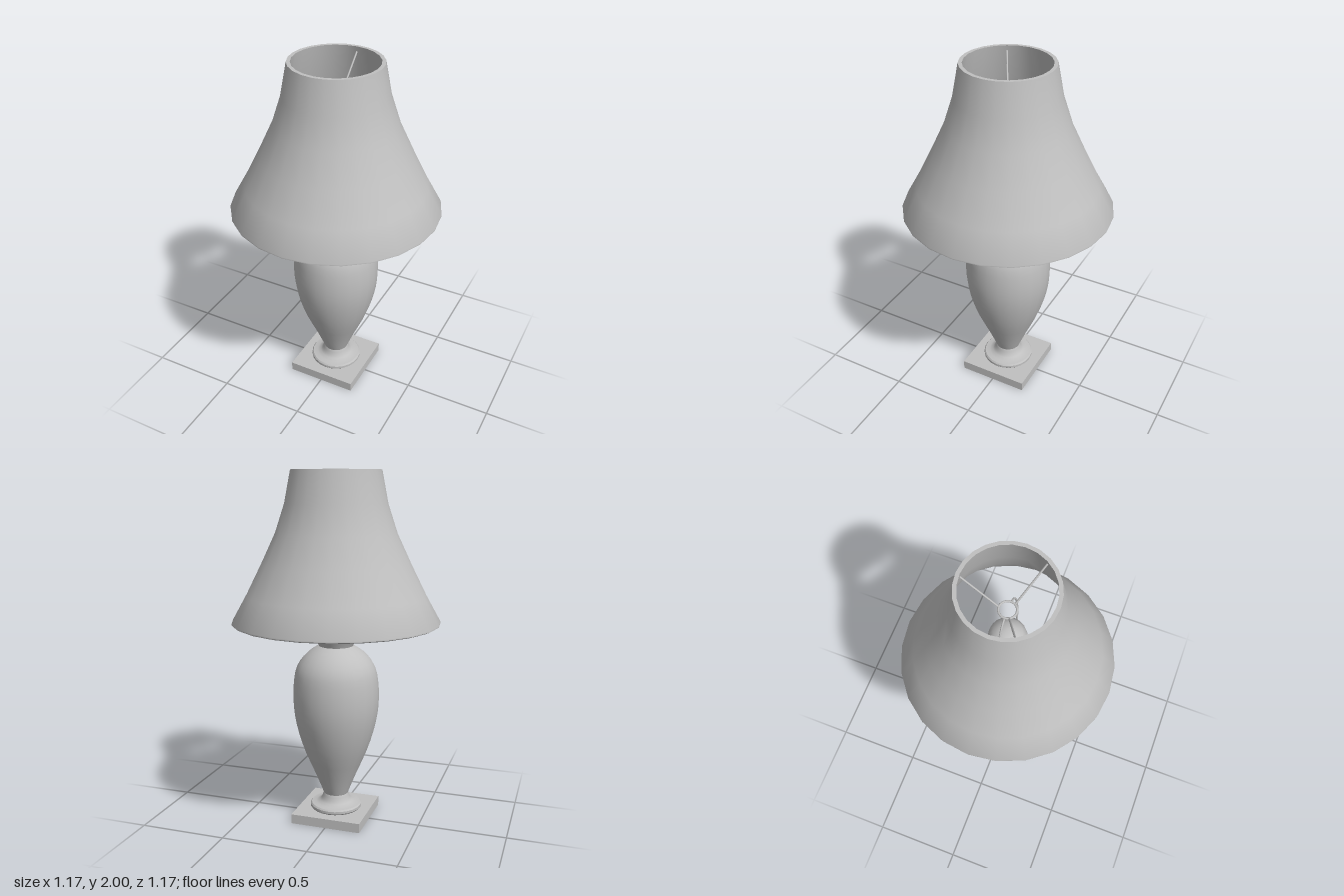
import * as THREE from 'three';
import { toCreasedNormals } from 'three/addons/utils/BufferGeometryUtils.js';

const grey = new THREE.MeshStandardMaterial({ color: 0xc0c0c0 });
grey.name = 'plain grey';

export function createModel() {
  const lamp = new THREE.Group();
  lamp.name = 'tableLamp';

  const add = (name, geometry, x = 0, y = 0, z = 0) => {
    const mesh = new THREE.Mesh(geometry, grey);
    mesh.name = name;
    mesh.position.set(x, y, z);
    lamp.add(mesh);
    return mesh;
  };
  const turned = (name, profile, sides = 24, crease = 0.6) => {
    const points = profile.map(([r, y]) => new THREE.Vector2(r, y));
    return add(name, toCreasedNormals(new THREE.LatheGeometry(points, sides), crease));
  };
  const wire = (name, points, radius, steps) => {
    const path = new THREE.CatmullRomCurve3(points.map((p) => new THREE.Vector3(...p)));
    return add(name, new THREE.TubeGeometry(path, steps, radius, 8));
  };

  // Square plinth and round foot
  add('plinth', new THREE.BoxGeometry(0.41, 0.055, 0.41), 0, 0.0275, 0);
  turned('foot', [
    [0, 0.055], [0.143, 0.055], [0.15, 0.063], [0.15, 0.077], [0.143, 0.085],
    [0.115, 0.088], [0.095, 0.097], [0.082, 0.112], [0.077, 0.13], [0.071, 0.145], [0, 0.145],
  ]);

  // Vase-shaped body
  const bodyCurve = new THREE.SplineCurve([
    [0.07, 0.14], [0.12, 0.265], [0.178, 0.4], [0.217, 0.52], [0.24, 0.63], [0.247, 0.73],
    [0.241, 0.83], [0.224, 0.905], [0.185, 0.965], [0.14, 1.005], [0.098, 1.03],
  ].map(([r, y]) => new THREE.Vector2(r, y)));
  turned('vaseBody', bodyCurve.getPoints(20).map((p) => [p.x, p.y]));
  turned('vaseNeck', [
    [0.098, 1.03], [0.104, 1.045], [0.13, 1.095], [0.127, 1.108], [0.115, 1.12], [0.1, 1.123], [0, 1.123],
  ]);

  // Stem, socket, bulb and switch
  add('stem', new THREE.CylinderGeometry(0.031, 0.031, 0.07, 16), 0, 1.15, 0);
  turned('socket', [
    [0, 1.175], [0.04, 1.175], [0.04, 1.235], [0.047, 1.24], [0.047, 1.275], [0.038, 1.285], [0, 1.285],
  ], 16);
  turned('bulb', [
    [0.038, 1.28], [0.045, 1.3], [0.075, 1.34], [0.098, 1.39], [0.105, 1.44],
    [0.098, 1.485], [0.076, 1.52], [0.042, 1.541], [0, 1.548],
  ], 20, 1);
  add('switchStem', new THREE.CylinderGeometry(0.007, 0.007, 0.06, 8), 0, 1.2, 0.06).rotation.x = Math.PI / 2;
  add('switchKnob', new THREE.SphereGeometry(0.015, 10, 8), 0, 1.2, 0.093);

  // Wire harp around the bulb, one half per side
  for (const s of [-1, 1]) {
    wire('harpHalf', [
      [0.03 * s, 1.18, 0], [0.075 * s, 1.185, 0], [0.09 * s, 1.21, 0], [0.092 * s, 1.27, 0],
      [0.125 * s, 1.35, 0], [0.14 * s, 1.45, 0], [0.135 * s, 1.57, 0], [0.11 * s, 1.69, 0],
      [0.075 * s, 1.76, 0], [0.04 * s, 1.785, 0],
    ], 0.005, 28);
  }

  // Shade holder: a ring with three rising spokes
  add('holderRing', new THREE.TorusGeometry(0.045, 0.006, 8, 24), 0, 1.79, 0).rotation.x = Math.PI / 2;
  for (let i = 0; i < 3; i++) {
    const a = Math.PI + (i * Math.PI * 2) / 3;
    const at = (r, y) => [Math.sin(a) * r, y, Math.cos(a) * r];
    wire('holderSpoke', [at(0.047, 1.79), at(0.235, 1.97)], 0.005, 1);
  }

  // Bell-shaped shade with a thin wall
  turned('shade', [
    [0.573, 1.16], [0.585, 1.166], [0.585, 1.173], [0.503, 1.32], [0.418, 1.49], [0.338, 1.66],
    [0.285, 1.82], [0.25, 2], [0.23, 2], [0.266, 1.815], [0.318, 1.65], [0.398, 1.48],
    [0.485, 1.31], [0.568, 1.17], [0.573, 1.16],
  ]);

  return lamp;
}
